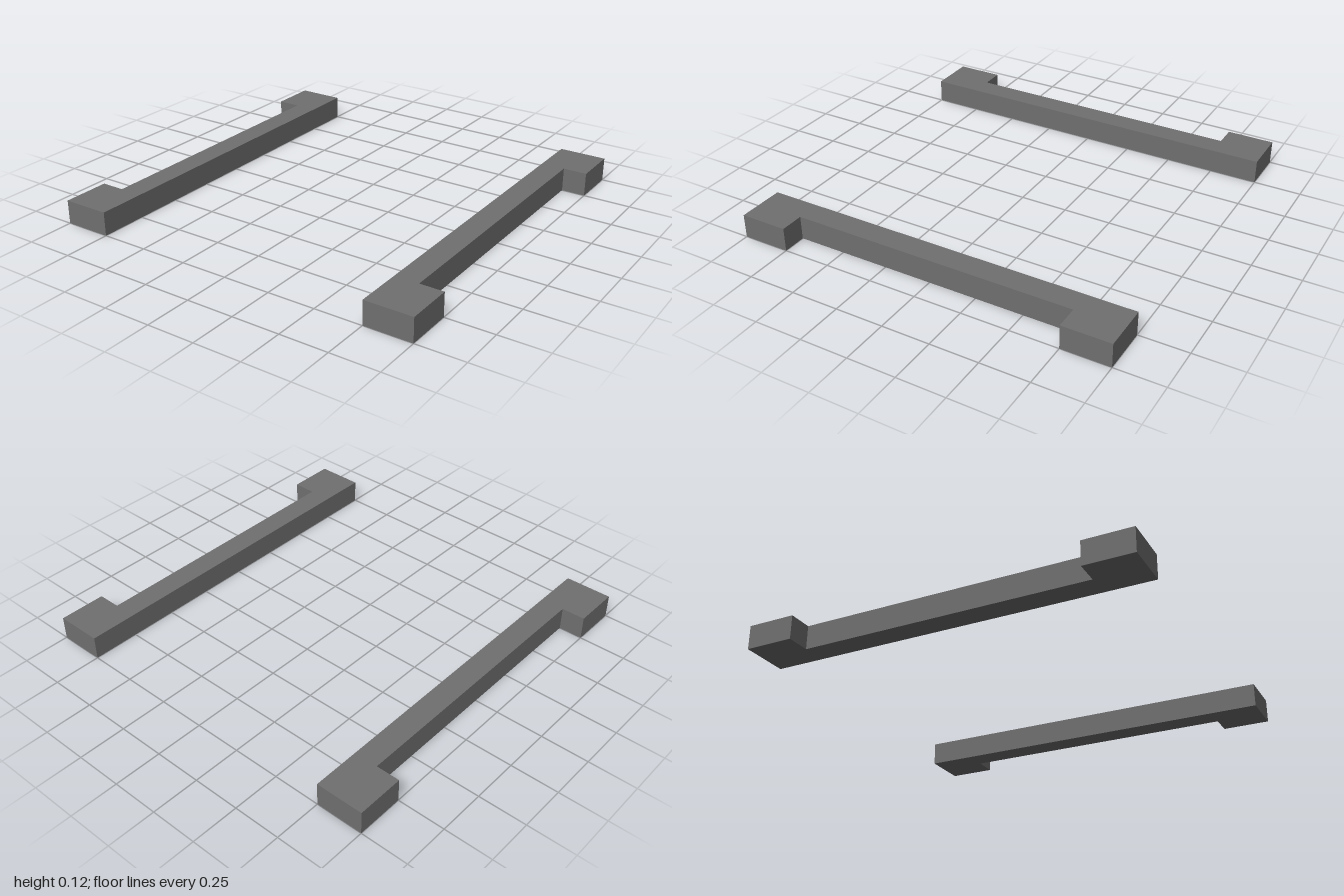
import * as THREE from 'three';

const HEIGHT = 0.125;

// C-shaped outline of one rail: a long bar with a square foot turned outward at each end
function railGeometry() {
  const inner = 0.75, bar = 0.875, outer = 1, end = 1, foot = 0.75;
  const shape = new THREE.Shape([
    [inner, -end], [outer, -end], [outer, -foot], [bar, -foot],
    [bar, foot], [outer, foot], [outer, end], [inner, end],
  ].map(([x, y]) => new THREE.Vector2(x, y)));
  const geometry = new THREE.ExtrudeGeometry(shape, { depth: HEIGHT, bevelEnabled: false });
  return geometry.rotateX(-Math.PI / 2); // lay flat, standing on y = 0
}

export function createModel() {
  const model = new THREE.Group();
  model.name = 'railPair';
  const grey = new THREE.MeshStandardMaterial({ color: 0x707070 });
  grey.name = 'grey';

  // Each rail is symmetric end to end, so a half turn gives the opposite side
  const geometry = railGeometry();
  ['leftRail', 'rightRail'].forEach((name, i) => {
    const rail = new THREE.Mesh(geometry, grey);
    rail.name = name;
    rail.rotation.y = i * Math.PI;
    model.add(rail);
  });
  return model;
}
